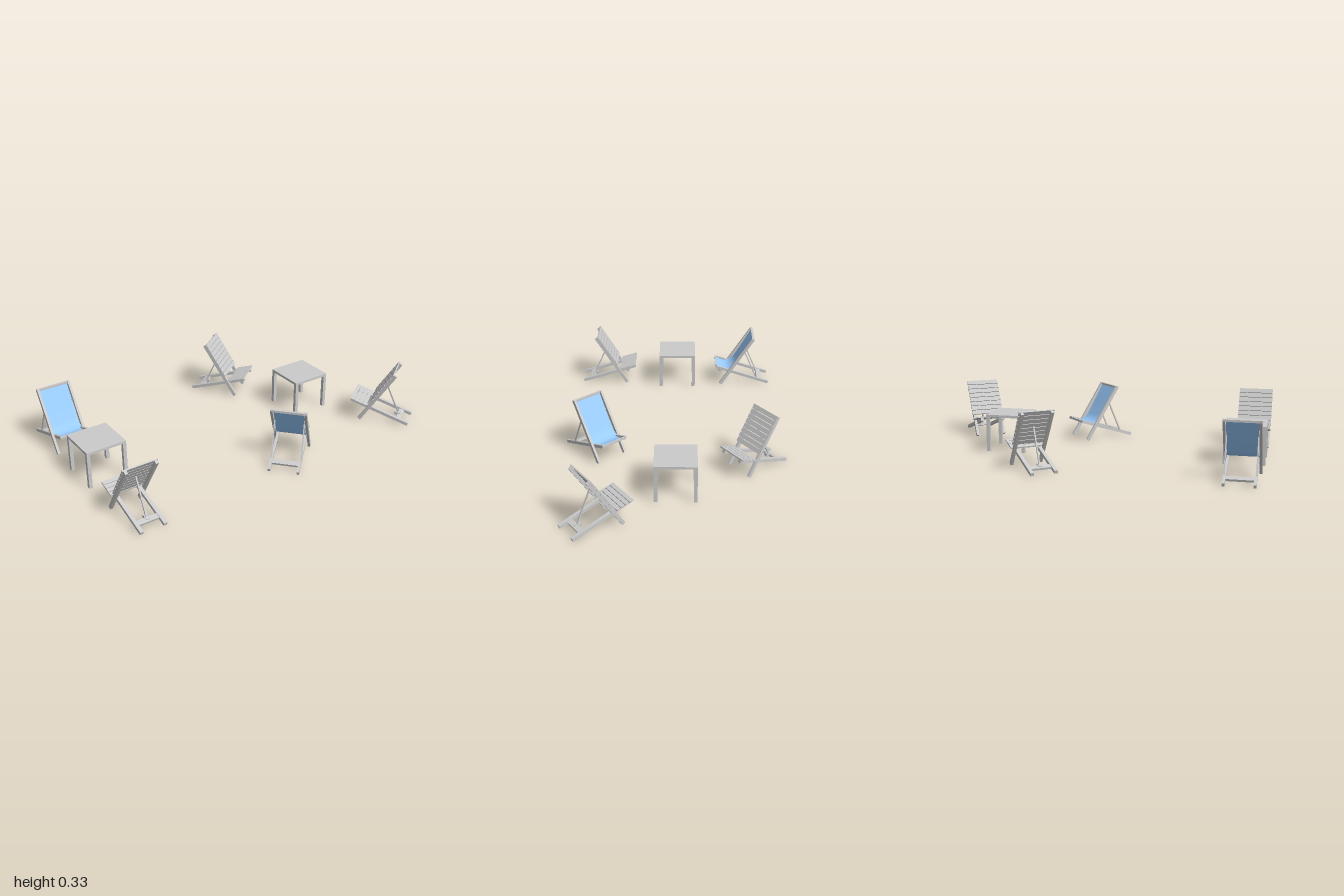
import * as THREE from 'three';

const wood = new THREE.MeshStandardMaterial({ color: 0xcccccc });
const cloth = new THREE.MeshStandardMaterial({ color: 0x9accff, side: THREE.DoubleSide });

function box(parent, name, w, h, d, x, y, z) {
  const mesh = new THREE.Mesh(new THREE.BoxGeometry(w, h, d), wood);
  mesh.name = name;
  mesh.position.set(x, y, z);
  parent.add(mesh);
  return mesh;
}

// Beam in a side plane between two [depth, height] points; depth runs backward from the seat front
function beam(parent, name, x, [u1, v1], [u2, v2], w, t) {
  const dz = u1 - u2, dy = v2 - v1;
  const mesh = box(parent, name, w, t, Math.hypot(dy, dz), x, (v1 + v2) / 2, -(u1 + u2) / 2);
  mesh.rotation.x = -Math.atan2(dy, dz);
}

// Row of cross slats laid on the upper side of the line a-b, raised by offset
function slats(parent, name, a, b, count, width, offset) {
  const du = b[0] - a[0], dv = b[1] - a[1], len = Math.hypot(du, dv);
  const sign = du * 1 > 0 ? 1 : -1;
  const n = [-dv / len * sign * offset, du / len * sign * offset];
  const at = (t) => [a[0] + du * t + n[0], a[1] + dv * t + n[1]];
  for (let i = 0; i < count; i++) {
    beam(parent, name, 0, at((i + 0.06) / count), at((i + 0.94) / count), width, 0.008);
  }
}

function slattedChair() {
  const g = new THREE.Group();
  for (const s of [-1, 1]) {
    beam(g, 'backRail', s * 0.086, [0.063, 0.005], [0.26, 0.322], 0.016, 0.02);
    beam(g, 'seatRail', s * 0.068, [0.005, 0.118], [0.354, 0.01], 0.02, 0.018);
  }
  slats(g, 'backSlat', [0.137, 0.122], [0.262, 0.324], 8, 0.2, 0.014);
  slats(g, 'seatSlat', [0, 0.121], [0.1, 0.09], 4, 0.2, 0.013);
  // rear cross board with the prop that holds the back up
  beam(g, 'rearCrossBoard', 0, [0.28, 0.033], [0.31, 0.024], 0.12, 0.012);
  beam(g, 'propRod', 0, [0.193, 0.235], [0.285, 0.035], 0.008, 0.008);
  beam(g, 'propBlock', 0, [0.262, 0.039], [0.298, 0.028], 0.022, 0.018);
  return g;
}

// Hanging cloth: a curved strip swept across the chair width
function sling() {
  const pts = [[0.245, 0.328], [0.2, 0.252], [0.155, 0.175], [0.118, 0.122],
    [0.08, 0.102], [0.04, 0.108], [0.002, 0.129]];
  const curve = new THREE.CatmullRomCurve3(pts.map(([u, v]) => new THREE.Vector3(0, v, -u)));
  const rows = 28;
  const geo = new THREE.PlaneGeometry(0.168, 1, 1, rows);
  const p = geo.attributes.position;
  for (let i = 0; i < p.count; i++) {
    const c = curve.getPointAt(Math.floor(i / 2) / rows);
    p.setXYZ(i, p.getX(i), c.y, c.z);
  }
  geo.computeVertexNormals();
  const mesh = new THREE.Mesh(geo, cloth);
  mesh.name = 'sling';
  return mesh;
}

function slingChair() {
  const g = new THREE.Group();
  for (const s of [-1, 1]) {
    beam(g, 'backRail', s * 0.094, [0.035, 0.005], [0.245, 0.326], 0.014, 0.02);
    beam(g, 'seatRail', s * 0.08, [0.003, 0.122], [0.354, 0.01], 0.014, 0.018);
    beam(g, 'propRod', s * 0.083, [0.19, 0.235], [0.275, 0.04], 0.007, 0.007);
  }
  box(g, 'topBar', 0.2, 0.012, 0.014, 0, 0.322, -0.245);
  box(g, 'frontBar', 0.168, 0.012, 0.012, 0, 0.121, -0.006);
  beam(g, 'rearCrossBoard', 0, [0.278, 0.034], [0.308, 0.025], 0.15, 0.012);
  g.add(sling());
  return g;
}

function table() {
  const g = new THREE.Group();
  box(g, 'tableTop', 0.235, 0.015, 0.235, 0, 0.2125, 0);
  for (const x of [-1, 1]) for (const z of [-1, 1]) {
    box(g, 'tableLeg', 0.02, 0.205, 0.02, x * 0.1075, 0.1025, z * 0.1075);
  }
  return g;
}

export function createModel() {
  const model = new THREE.Group();
  const place = (part, name, x, z, degrees = 0) => {
    part.name = name;
    part.position.set(x, 0, z);
    part.rotation.y = THREE.MathUtils.degToRad(degrees);
    model.add(part);
  };
  place(table(), 'rightTable', -0.875, -0.01);
  place(table(), 'leftTable', 0.518, -0.01);

  // chairs are placed by the middle of their front edge
  place(slattedChair(), 'rightFrontSlattedChair', -0.897, 0.265, 180);
  place(slattedChair(), 'leftBackSlattedChair', 0.355, -0.315, 37);
  place(slattedChair(), 'leftFrontSlattedChair', 0.73, 0.257, -144.6);
  place(slingChair(), 'rightBackSlingChair', -0.885, -0.265, 0);
  place(slingChair(), 'leftFrontSlingChair', 0.21, 0.34, 132);
  return model;
}
